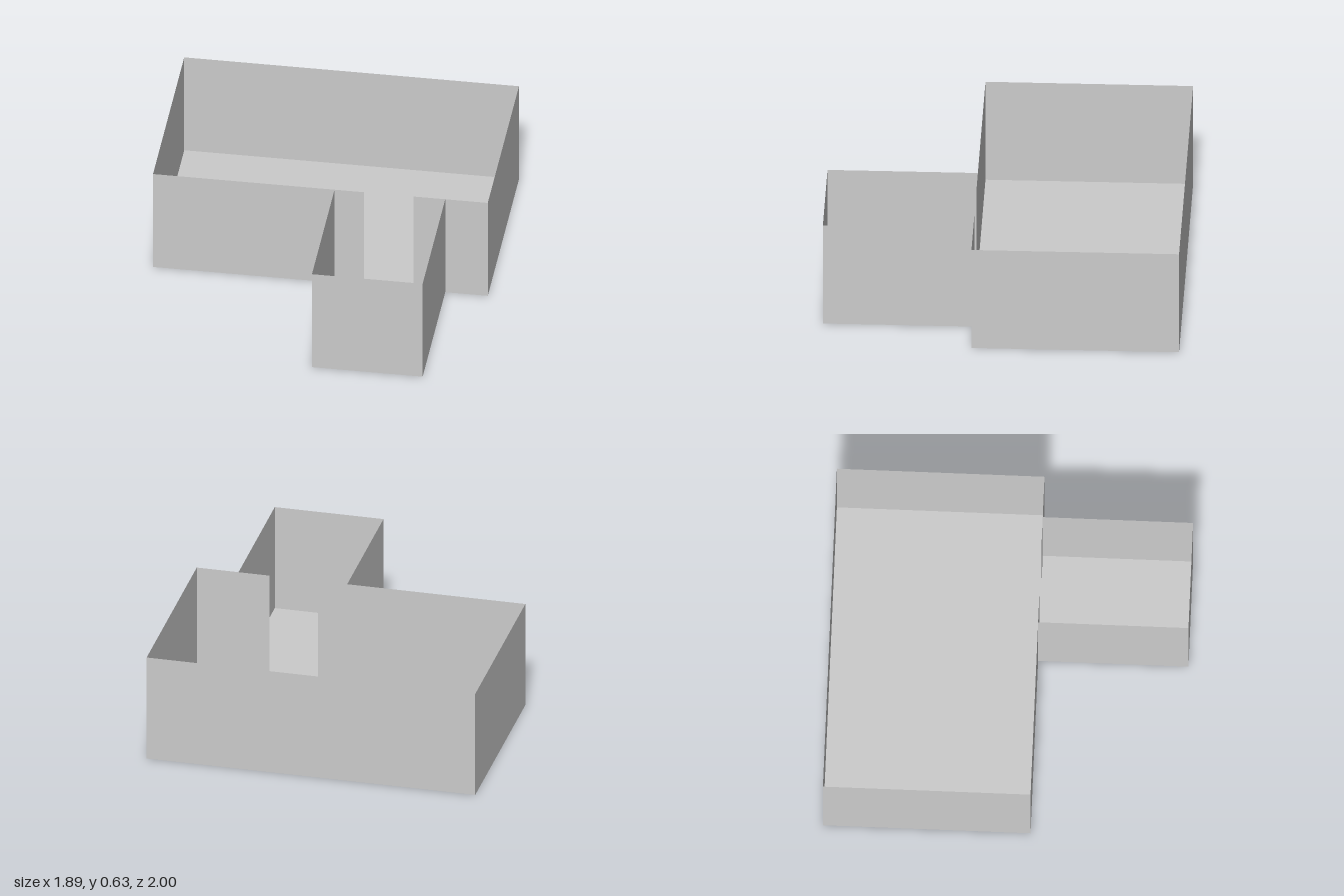
import * as THREE from 'three';

const HEIGHT = 0.63;
const material = new THREE.MeshStandardMaterial({
  color: 0xcccccc, side: THREE.DoubleSide, flatShading: true,
});

// Thin upright wall between two floor-plan points [x, z]
function wall(name, [x0, z0], [x1, z1]) {
  const geometry = new THREE.PlaneGeometry(Math.hypot(x1 - x0, z1 - z0), HEIGHT);
  const mesh = new THREE.Mesh(geometry, material);
  mesh.name = name;
  mesh.position.set((x0 + x1) / 2, HEIGHT / 2, (z0 + z1) / 2);
  mesh.rotation.y = -Math.atan2(z1 - z0, x1 - x0);
  return mesh;
}

// Flat floor panel facing up
function floor(name, x0, x1, z0, z1) {
  const geometry = new THREE.PlaneGeometry(x1 - x0, z1 - z0).rotateX(-Math.PI / 2);
  const mesh = new THREE.Mesh(geometry, material);
  mesh.name = name;
  mesh.position.set((x0 + x1) / 2, 0, (z0 + z1) / 2);
  return mesh;
}

export function createModel() {
  const model = new THREE.Group();
  model.name = 'openRooms';

  const side = 0.945, back = -1, divide = 0.16, front = 1; // main room limits
  const annexRight = 0.08, annexLeft = 0.705;              // small room sides
  const doorRight = 0.247, doorLeft = 0.527;               // full-height doorway

  // Main room, its front wall split by the doorway
  const mainRoom = new THREE.Group();
  mainRoom.name = 'mainRoom';
  mainRoom.add(
    floor('mainFloor', -side, side, back, divide),
    wall('mainRightWall', [-side, back], [-side, divide]),
    wall('mainFrontWallRight', [-side, divide], [doorRight, divide]),
    wall('mainFrontWallLeft', [doorLeft, divide], [side, divide]),
    wall('mainLeftWall', [side, divide], [side, back]),
    wall('mainBackWall', [side, back], [-side, back]),
  );

  // Small room projecting from the front
  const annex = new THREE.Group();
  annex.name = 'annex';
  annex.add(
    floor('annexFloor', annexRight, annexLeft, divide, front),
    wall('annexRightWall', [annexRight, divide], [annexRight, front]),
    wall('annexFrontWall', [annexRight, front], [annexLeft, front]),
    wall('annexLeftWall', [annexLeft, front], [annexLeft, divide]),
  );

  model.add(mainRoom, annex);
  return model;
}
